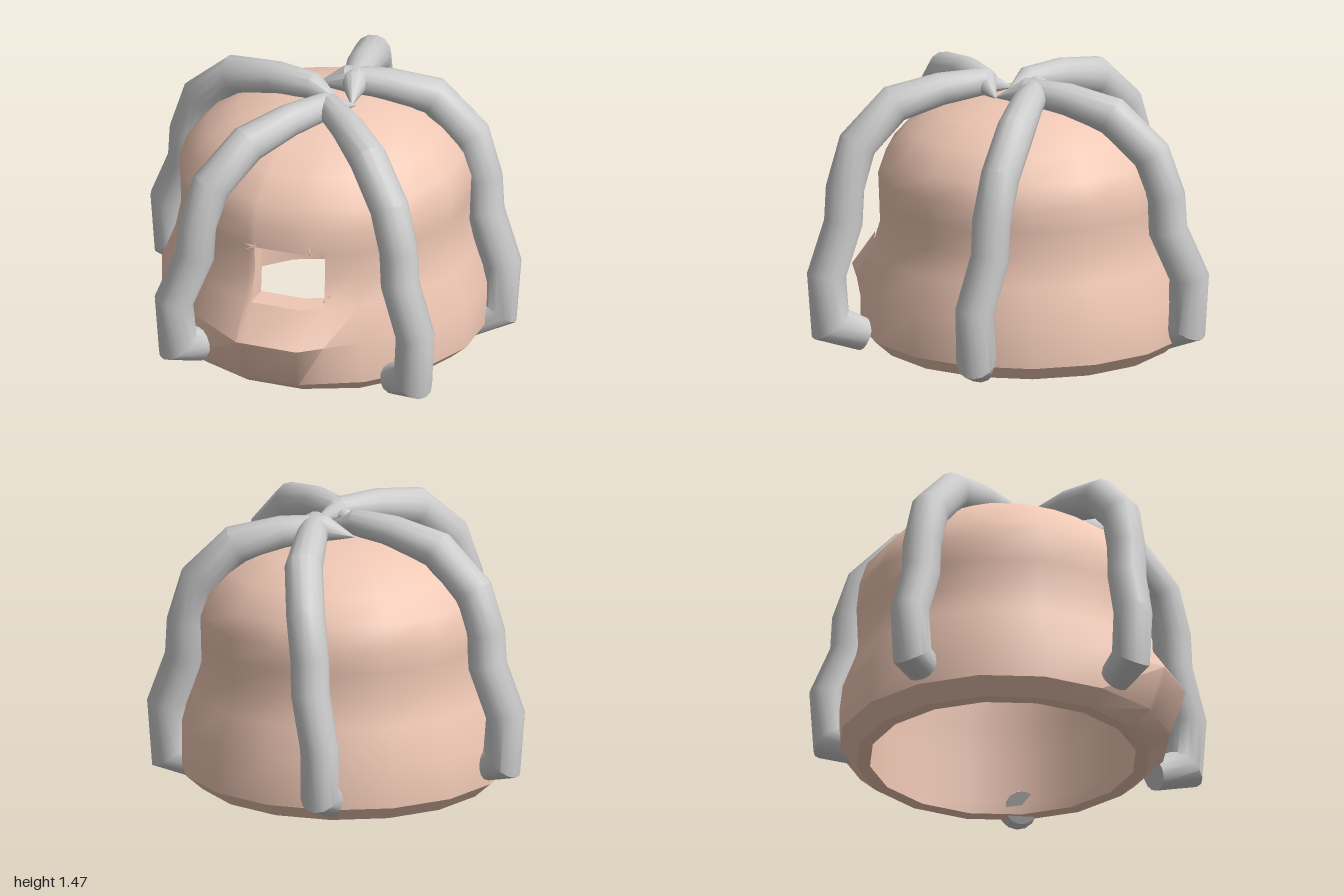
import * as THREE from 'three';
import { toCreasedNormals } from 'three/addons/utils/BufferGeometryUtils.js';

const CX = -0.025, CZ = 0.02, SIDES = 16;

function fromQuads(points, quads, crease) {
  const geo = new THREE.BufferGeometry().setFromPoints(points);
  geo.setIndex(quads.flatMap(([a, b, c, d]) => [a, b, c, a, c, d]));
  return toCreasedNormals(geo, crease);
}

// Bell-shaped hollow shell with a window and a pulled-out sill
function shellGeometry() {
  // radius, height, forward pull of the sill columns
  const outer = [
    [0.76, 0.04, 0], [0.85, 0.12, 0.02], [0.85, 0.35, 0.1], [0.78, 0.53, 0.045],
    [0.75, 0.68, 0.02], [0.755, 0.82, 0.01], [0.76, 0.94, 0], [0.72, 1.06, 0],
    [0.61, 1.185, 0], [0.45, 1.28, 0], [0.24, 1.335, 0], [0, 1.35, 0]];
  const inner = outer.map(([r, y]) => [
    Math.max(0, Math.min(r - 0.07, 0.69)), y > 0.9 ? y - 0.06 : y, 0]);
  const rows = [...inner.slice().reverse(), ...outer];
  const N = outer.length;

  // Sixteen corners plus two columns for the window edges
  const cols = [0, 0.4];
  for (let k = 1; k < SIDES; k++) cols.push(k);
  cols.push(15.12);
  const C = cols.length;

  const corner = ([r, y, pull], k) => {
    const a = (k % SIDES) / SIDES * Math.PI * 2;
    const front = k % SIDES === 0 || k % SIDES === SIDES - 1;
    return new THREE.Vector3(CX + r * Math.sin(a), y, CZ + r * Math.cos(a) + (front ? pull : 0));
  };
  const points = rows.flatMap(row => cols.map(u => {
    const k = Math.floor(u);
    return corner(row, k).lerp(corner(row, k + 1), u - k);
  }));

  const quads = [];
  const windowRows = [N + 3, N + 4, N - 6, N - 5];
  const V = (i, j) => i * C + (j % C);
  for (let i = 0; i < rows.length - 1; i++) {
    for (let j = 0; j < C; j++) {
      if (windowRows.includes(i) && (j === 0 || j === C - 1)) continue;
      quads.push([V(i, j), V(i, j + 1), V(i + 1, j + 1), V(i + 1, j)]);
    }
  }
  // Window reveals between outer and inner skins
  const O = (n, j) => V(N + n, j), I = (n, j) => V(N - 1 - n, j);
  for (const j of [C - 1, 0]) {
    quads.push([O(3, j), O(3, j + 1), I(3, j + 1), I(3, j)]);
    quads.push([O(5, j), I(5, j), I(5, j + 1), O(5, j + 1)]);
  }
  for (const n of [3, 4]) {
    quads.push([O(n, C - 1), I(n, C - 1), I(n + 1, C - 1), O(n + 1, C - 1)]);
    quads.push([O(n, 1), O(n + 1, 1), I(n + 1, 1), I(n, 1)]);
  }
  return fromQuads(points, quads, 0.65);
}

// Bent arm: share of the way from tip to foot, height, tube radius
const ARM = [
  [0, 1.36, 0.002], [0.16, 1.405, 0.07], [0.38, 1.385, 0.085], [0.62, 1.325, 0.098],
  [0.82, 1.13, 0.1], [0.89, 0.91, 0.1], [0.9, 0.73, 0.1], [1, 0.47, 0.1],
  [0.98, 0.21, 0.1], [0.8, 0.14, 0.085]];

// bow swings the arm sideways, drop lowers its foot, end places the foot's tip
function armGeometry({ tip, foot, bow = 0, drop = 0, end }) {
  const R = 14, last = ARM.length - 1;
  const dir = new THREE.Vector3(foot[0] - tip[0], 0, foot[1] - tip[1]);
  const side = new THREE.Vector3(-dir.z, 0, dir.x).normalize();
  const path = ARM.map(([s, y], i) =>
    new THREE.Vector3(tip[0], y - drop * (i / last) ** 2, tip[1])
      .addScaledVector(dir, s)
      .addScaledVector(side, i < 7 ? bow * Math.sin(Math.PI * s * s) : 0));
  if (end) path[last].set(end[0], path[last].y, end[1]);
  const points = [], quads = [];
  path.forEach((p, i) => {
    const before = p.clone().sub(path[Math.max(i - 1, 0)]).normalize();
    const after = path[Math.min(i + 1, last)].clone().sub(p).normalize();
    const tangent = before.clone().add(after).normalize();
    const across = side.clone().addScaledVector(tangent, -side.dot(tangent)).normalize();
    const up = across.clone().cross(tangent);
    // widen the section at bends so the tube keeps its thickness
    const miter = i && i < last ? 1 / Math.max(0.75, tangent.dot(after)) : 1;
    for (let j = 0; j < R; j++) {
      const a = j / R * Math.PI * 2, r = ARM[i][2];
      points.push(p.clone().addScaledVector(across, r * Math.cos(a))
        .addScaledVector(up, r * miter * Math.sin(a)));
    }
  });
  const V = (i, j) => i * R + (j % R);
  for (let i = 0; i < last; i++) {
    for (let j = 0; j < R; j++) quads.push([V(i, j), V(i + 1, j), V(i + 1, j + 1), V(i, j + 1)]);
  }
  // Flat end at the foot
  for (let j = 1; j < R - 1; j += 2) quads.push([V(last, 0), V(last, j + 2), V(last, j + 1), V(last, j)]);
  return fromQuads(points, quads, 0.65);
}

export function createModel() {
  const group = new THREE.Group();
  const shellMaterial = new THREE.MeshStandardMaterial({ color: 0xf0c8b5 });
  const armMaterial = new THREE.MeshStandardMaterial({ color: 0xcccccc, side: THREE.DoubleSide });

  const shell = new THREE.Mesh(shellGeometry(), shellMaterial);
  shell.name = 'domeShell';
  group.add(shell);

  // Small splinters at the window corners: x, y, z and the angles they point at
  const splinters = [
    [-0.28, 0.82, 0.73, [80, 165, 200]],
    [0.02, 0.82, 0.78, [70, 105]],
    [0.09, 0.56, 0.78, [-50, 0, 45]]];
  const thorn = new THREE.ConeGeometry(0.008, 0.055, 5).translate(0, 0.0275, 0);
  for (const [x, y, z, angles] of splinters) {
    for (const angle of angles) {
      const splinter = new THREE.Mesh(thorn, shellMaterial);
      splinter.name = 'windowSplinter';
      splinter.position.set(x, y, z);
      splinter.rotation.z = THREE.MathUtils.degToRad(angle - 90);
      group.add(splinter);
    }
  }

  // Five arms hugging the dome, given as x and z of tip and foot
  const arms = {
    frontRightArm: { tip: [0.15, 0.12], foot: [-0.69, 0.79], bow: -0.05, drop: -0.06, end: [-0.57, 0.68] },
    frontLeftArm: { tip: [-0.08, 0.11], foot: [0.58, 0.89], bow: 0.05, drop: 0.02 },
    leftArm: { tip: [-0.09, -0.08], foot: [0.885, -0.03], bow: -0.08, drop: 0.06, end: [0.67, 0.02] },
    backArm: { tip: [0.13, 0.13], foot: [0.02, -0.89], bow: 0.08, end: [-0.03, -0.73] },
    rightArm: { tip: [0.07, 0.1], foot: [-0.89, -0.34], drop: -0.06 },
  };
  for (const [name, spec] of Object.entries(arms)) {
    const arm = new THREE.Mesh(armGeometry(spec), armMaterial);
    arm.name = name;
    group.add(arm);
  }
  return group;
}
